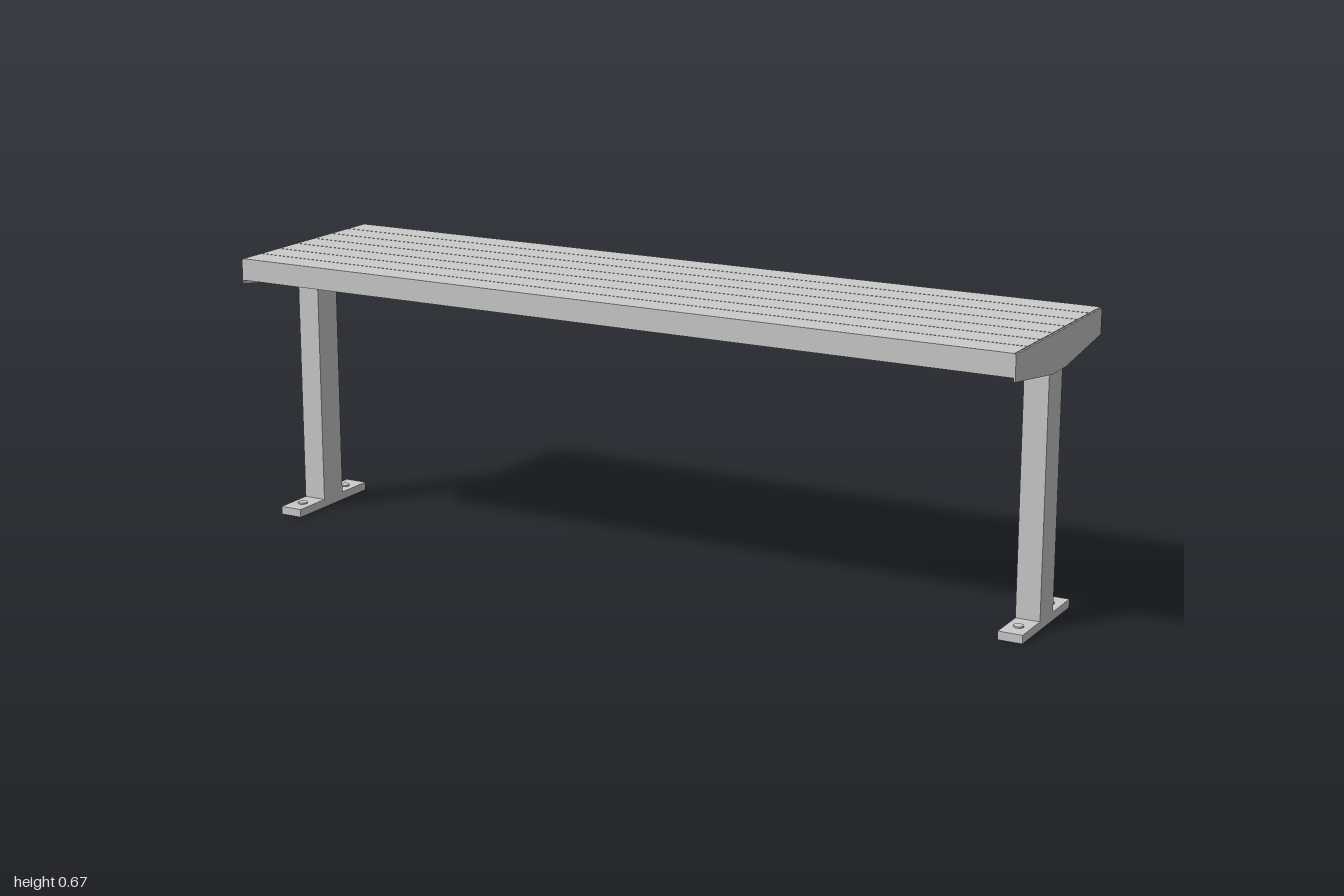
import * as THREE from 'three';

const material = new THREE.MeshStandardMaterial({ color: 0xcccccc });

function add(parent, name, geometry, x = 0, y = 0, z = 0) {
  const mesh = new THREE.Mesh(geometry, material);
  mesh.name = name;
  mesh.position.set(x, y, z);
  parent.add(mesh);
  return mesh;
}

// Rectangular outline centred on (cx, cy)
function rect(Type, w, h, cx = 0, cy = 0) {
  return new Type([[-1, -1], [1, -1], [1, 1], [-1, 1]].map(
    ([sx, sy]) => new THREE.Vector2(cx + sx * w / 2, cy + sy * h / 2)));
}

const TOP = 0.673, SLAT_H = 0.053, DEPTH = 0.506;
const LEG_X = 0.964, LEG_W = 0.058, LEG_D = 0.078;
const FOOT_L = 0.281, FOOT_H = 0.02, SKIN = 0.006;

// Long planks separated by narrow gaps
function createSeat() {
  const seat = new THREE.Group();
  seat.name = 'seat';
  const count = 7, gap = 0.0025;
  const width = (DEPTH - gap * (count - 1)) / count;
  for (let i = 0; i < count; i++) {
    const z = -DEPTH / 2 + width / 2 + i * (width + gap);
    add(seat, 'slat', new THREE.BoxGeometry(1.992, SLAT_H, width), 0, TOP - SLAT_H / 2, z);
  }
  return seat;
}

// Thin tapered plate capping the slat ends
function createEndPlate() {
  const d = DEPTH / 2, m = LEG_D / 2;
  const shape = new THREE.Shape([[-d, 0.671], [-d, 0.611], [-m, 0.582], [m, 0.582], [d, 0.611], [d, 0.671]]
    .map(([z, y]) => new THREE.Vector2(z, y)));
  const geometry = new THREE.ExtrudeGeometry(shape, { depth: 0.004, bevelEnabled: false });
  geometry.rotateY(Math.PI / 2);
  return geometry;
}

// Post, foot with hollow underside, and bolts
function createLeg() {
  const leg = new THREE.Group();
  leg.name = 'leg';
  const bottom = 0.001, top = TOP - SLAT_H;
  add(leg, 'post', new THREE.BoxGeometry(LEG_W, top - bottom, LEG_D), 0, (top + bottom) / 2, 0);

  const frame = rect(THREE.Shape, LEG_W, FOOT_L);
  for (const s of [-1, 1]) frame.holes.push(rect(THREE.Path, 0.034, 0.084, 0, s * 0.086));
  const rim = new THREE.ExtrudeGeometry(frame, { depth: FOOT_H - SKIN, bevelEnabled: false });
  rim.rotateX(-Math.PI / 2);
  add(leg, 'footRim', rim);
  add(leg, 'footTop', new THREE.BoxGeometry(LEG_W, SKIN, FOOT_L), 0, FOOT_H - SKIN / 2, 0);

  for (const s of [-1, 1]) {
    add(leg, 'bolt', new THREE.CylinderGeometry(0.012, 0.012, 0.004, 24), 0, FOOT_H + 0.0015, s * 0.091);
  }
  return leg;
}

export function createModel() {
  const bench = new THREE.Group();
  bench.name = 'bench';
  bench.add(createSeat());
  for (const side of [-1, 1]) {
    add(bench, 'endPlate', createEndPlate(), side > 0 ? 0.996 : -1);
    const leg = createLeg();
    leg.position.x = side * LEG_X;
    bench.add(leg);
  }
  return bench;
}
